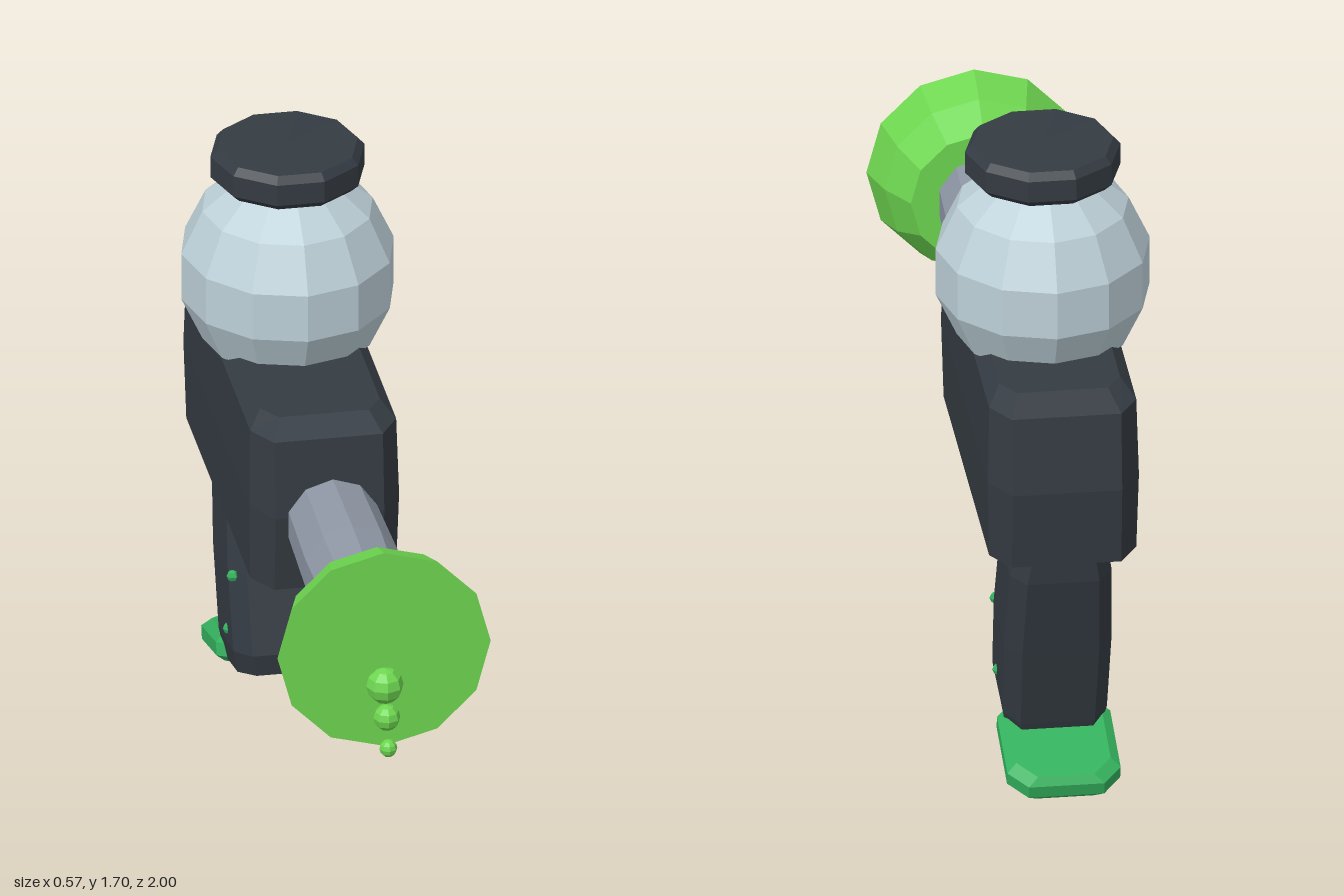
import * as THREE from 'three';

const paint = (name, color) => {
  const m = new THREE.MeshStandardMaterial({ color });
  m.name = name;
  return m;
};

// Faceted normals for the low-poly look
function faceted(geo) {
  const g = geo.index ? geo.toNonIndexed() : geo;
  g.computeVertexNormals();
  return g;
}

// Chamfered rectangle running from front (zf, yf) to back (zb, yb), half width w
function ring(zf, yf, zb, yb, w, cx, cz) {
  const half = [[w - cx, zf], [w, zf - cz], [w, zb + cz], [w - cx, zb]];
  const all = [...half, ...half.slice().reverse().map(([x, z]) => [-x, z])];
  return all.map(([x, z]) => [x, yf + (yb - yf) * (zf - z) / (zf - zb), z]);
}

// Closed solid through rings listed from bottom to top
function loft(rings) {
  const pos = [];
  const n = rings[0].length;
  for (let r = 0; r < rings.length - 1; r++) {
    for (let i = 0; i < n; i++) {
      const j = (i + 1) % n;
      const a = rings[r][i], b = rings[r][j], c = rings[r + 1][j], d = rings[r + 1][i];
      pos.push(...a, ...b, ...c, ...a, ...c, ...d);
    }
  }
  const lo = rings[0], hi = rings[rings.length - 1];
  for (let i = 1; i < n - 1; i++) {
    pos.push(...lo[0], ...lo[i + 1], ...lo[i], ...hi[0], ...hi[i], ...hi[i + 1]);
  }
  const g = new THREE.BufferGeometry();
  g.setAttribute('position', new THREE.Float32BufferAttribute(pos, 3));
  return faceted(g);
}

const lathe = (profile, sides, start = 0) =>
  faceted(new THREE.LatheGeometry(profile.map(([r, y]) => new THREE.Vector2(r, y)), sides, start));

export function createModel() {
  const model = new THREE.Group();
  const dark = paint('charcoal', 0x343b42);
  const steel = paint('steel grey', 0x8e96a4);
  const glass = paint('pale blue', 0xbdd0d8);
  const lime = paint('lime green', 0x6ed650);
  const green = paint('deep green', 0x34b25e);

  const add = (name, geo, mat, x = 0, y = 0, z = 0) => {
    const mesh = new THREE.Mesh(geo, mat);
    mesh.name = name;
    mesh.position.set(x, y, z);
    model.add(mesh);
    return mesh;
  };

  // Main housing, slightly bulged at mid height
  add('body', loft([
    ring(0.04, 0.67, -0.9, 0.67, 0.16, 0.04, 0.06),
    ring(0.11, 0.705, -0.98, 0.705, 0.195, 0.05, 0.08),
    ring(0.13, 0.925, -1.0, 0.925, 0.2, 0.055, 0.085),
    ring(0.11, 1.14, -0.98, 1.14, 0.195, 0.05, 0.08),
    ring(0.04, 1.178, -0.9, 1.178, 0.16, 0.04, 0.06),
  ]), dark);

  // Round tank and its lid
  const tank = add('tank', faceted(new THREE.SphereGeometry(0.3, 12, 7)), glass, 0, 1.34, -0.49);
  tank.scale.set(0.97, 1, 1.03);
  add('tankLid', lathe([
    [0, 0], [0.185, 0], [0.206, 0.02], [0.206, 0.08], [0.188, 0.1], [0, 0.103],
  ], 10, Math.PI / 2), dark, 0, 1.607, -0.49);

  // Barrel and flared muzzle
  add('barrel', lathe([
    [0, 0.14], [0.115, 0.158], [0.124, 0.17], [0.131, 0.45], [0.122, 0.74], [0, 0.74],
  ], 10), steel, 0, 0.925, 0).rotation.x = Math.PI / 2;
  add('muzzle', lathe([
    [0, 0.72], [0.192, 0.72], [0.25, 0.81], [0.285, 0.915], [0, 0.915],
  ], 12), lime, 0, 0.925, 0).rotation.x = Math.PI / 2;

  // Drips running down the muzzle face
  for (const [y, z, r] of [[0.825, 0.925, 0.05], [0.745, 0.955, 0.036], [0.665, 0.977, 0.024]]) {
    add('drip', faceted(new THREE.SphereGeometry(r, 8, 6)), lime, 0, y, z);
  }

  // Slanted grip
  add('grip', loft([
    ring(-0.6, 0.095, -0.74, 0.06, 0.09, 0.03, 0.03),
    ring(-0.475, 0.147, -0.775, 0.075, 0.125, 0.04, 0.06),
    ring(-0.465, 0.21, -0.8, 0.15, 0.138, 0.04, 0.06),
    ring(-0.525, 0.42, -0.86, 0.38, 0.142, 0.04, 0.06),
    ring(-0.585, 0.62, -0.92, 0.62, 0.135, 0.04, 0.06),
    ring(-0.61, 0.72, -0.93, 0.72, 0.12, 0.04, 0.06),
  ]), dark);

  // Tilted foot plate under the grip
  add('footPlate', loft([
    ring(0.15, -0.038, -0.155, -0.038, 0.125, 0.05, 0.06),
    ring(0.17, -0.018, -0.172, -0.018, 0.15, 0.05, 0.06),
    ring(0.17, 0.018, -0.172, 0.018, 0.15, 0.05, 0.06),
    ring(0.15, 0.038, -0.155, 0.038, 0.125, 0.05, 0.06),
  ]), green, 0, 0.085, -0.815).rotation.x = -0.27;

  // Trigger and guard
  add('guardPost', new THREE.BoxGeometry(0.06, 0.14, 0.035), dark, 0, 0.62, -0.222);
  add('guardBar', loft([
    ring(-0.235, 0.533, -0.57, 0.54, 0.025, 0.01, 0.02),
    ring(-0.205, 0.555, -0.6, 0.56, 0.035, 0.01, 0.02),
    ring(-0.215, 0.58, -0.6, 0.585, 0.03, 0.01, 0.02),
  ]), dark);
  add('trigger', loft([
    ring(-0.41, 0.59, -0.44, 0.59, 0.018, 0.006, 0.006),
    ring(-0.395, 0.64, -0.45, 0.64, 0.025, 0.006, 0.006),
    ring(-0.4, 0.69, -0.47, 0.69, 0.025, 0.006, 0.006),
  ]), dark);

  // Band across the front of the grip, lofted sideways
  const widths = [0.018, 0.032, 0.022, 0.032, 0.018];
  const band = add('gripBand', loft(widths.map((h, i) =>
    ring(0.035, -0.14 + i * 0.07, -0.035, -0.14 + i * 0.07, h, h * 0.35, 0.015))), green, 0, 0.588, -0.517);
  band.rotation.set(-0.25, 0, -Math.PI / 2);

  // Small studs on both sides of the grip
  for (const side of [-1, 1]) {
    for (const [y, z] of [[0.405, -0.56], [0.222, -0.615]]) {
      add('gripStud', faceted(new THREE.SphereGeometry(0.016, 6, 4)), green, side * 0.134, y, z);
    }
  }

  return model;
}
